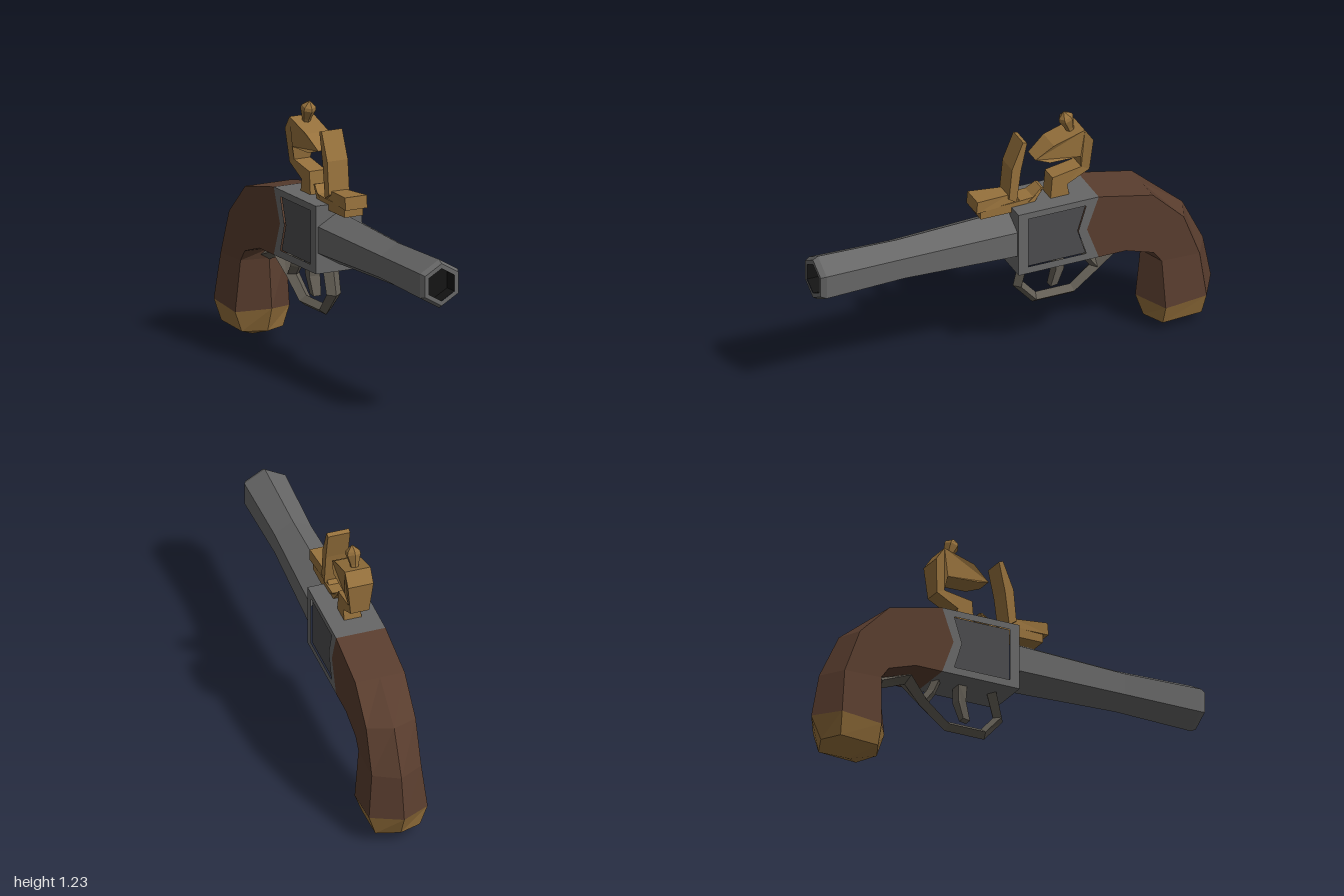
import * as THREE from 'three';

const mat = (color, side = THREE.FrontSide) => new THREE.MeshStandardMaterial({ color, flatShading: true, side });
const steel = mat(0x676767), panelSteel = mat(0x4b4b4d), bore = mat(0x141414, THREE.DoubleSide);
const wood = mat(0x593d2e), brass = mat(0x96713c), iron = mat(0x625d54);

function geometryOf(triangles) {
  const geo = new THREE.BufferGeometry().setFromPoints(triangles);
  geo.computeVertexNormals();
  return geo;
}

// Solid from a side outline of [z, y, halfWidth] points
function slab(outline) {
  let pts = outline;
  const flat = (list) => list.map(([z, y]) => new THREE.Vector2(z, y));
  if (THREE.ShapeUtils.area(flat(pts)) < 0) pts = [...pts].reverse();
  const at = (i, s) => new THREE.Vector3(s * pts[i][2], pts[i][1], pts[i][0]);
  const tris = [];
  for (const [a, b, c] of THREE.ShapeUtils.triangulateShape(flat(pts), [])) {
    tris.push(at(a, -1), at(b, -1), at(c, -1), at(a, 1), at(c, 1), at(b, 1));
  }
  pts.forEach((_, i) => {
    const j = (i + 1) % pts.length;
    tris.push(at(i, -1), at(i, 1), at(j, 1), at(i, -1), at(j, 1), at(j, -1));
  });
  return geometryOf(tris);
}

// Skin over a row of equal-length rings
function loft(rings) {
  const tris = [];
  for (let s = 0; s < rings.length - 1; s++) {
    const n = rings[s].length;
    for (let i = 0; i < n; i++) {
      const j = (i + 1) % n;
      const a = rings[s][i], b = rings[s][j], c = rings[s + 1][i], d = rings[s + 1][j];
      tris.push(a, b, d, a, d, c);
    }
  }
  return geometryOf(tris);
}

// Kite-section bar along a path of [z, y, halfWidth]
function bar(path, thick) {
  const rings = path.map(([z, y, w], i) => {
    const p = path[Math.max(i - 1, 0)], q = path[Math.min(i + 1, path.length - 1)];
    const t = new THREE.Vector2(q[0] - p[0], q[1] - p[1]).normalize();
    const nz = t.y * thick, ny = -t.x * thick;
    return [[0, y + ny, z + nz], [w, y, z], [0, y - ny, z - nz], [-w, y, z]].map((v) => new THREE.Vector3(...v));
  });
  const cap = (r) => r.map(() => r[0].clone().add(r[2]).multiplyScalar(0.5));
  return loft([cap(rings[0]), ...rings, cap(rings[rings.length - 1])]);
}

// Six-sided turned part along y from [radius, height] points
const turned = (pts) => new THREE.LatheGeometry(pts.map(([r, h]) => new THREE.Vector2(r, h)), 6);

// Grip ring: back ridge, back edge, front edge, front ridge (each z, y) and half width
function gripRing([br, be, fe, fr, w]) {
  const p = (x, [z, y]) => new THREE.Vector3(x, y, z);
  return [p(0, br), p(w, be), p(w, fe), p(0, fr), p(-w, fe), p(-w, be)];
}

export function createModel() {
  const model = new THREE.Group();
  const add = (name, geo, material, parent = model) => {
    const mesh = new THREE.Mesh(geo, material);
    mesh.name = name;
    parent.add(mesh);
    return mesh;
  };

  // Barrel with a hollow muzzle
  const barrel = turned([[0.126, 0], [0.104, 0.58], [0.115, 0.975], [0.1, 1], [0.077, 1]]);
  add('barrel', barrel.rotateX(Math.PI / 2), steel).position.y = 0.65;
  const hollow = turned([[0, 0.93], [0.077, 0.93], [0.077, 0.999]]);
  add('bore', hollow.rotateX(Math.PI / 2), bore).position.y = 0.65;

  // Receiver frame with notched rear and recessed side panels
  const outer = [[0.02, 0.49], [0.02, 0.812], [-0.383, 0.812], [-0.324, 0.652], [-0.383, 0.49]];
  const inner = [[-0.03, 0.525], [-0.03, 0.78], [-0.32, 0.78], [-0.28, 0.652], [-0.32, 0.525]];
  const toShape = (pts) => pts.map(([z, y]) => new THREE.Vector2(-z, y));
  const frame = new THREE.Shape(toShape(outer));
  frame.holes.push(new THREE.Path(toShape(inner)));
  const frameGeo = new THREE.ExtrudeGeometry(frame, { depth: 0.24, bevelEnabled: false });
  add('receiverFrame', frameGeo.translate(0, 0, -0.12).rotateY(Math.PI / 2), steel);
  add('sidePanels', slab(inner.map(([z, y]) => [z, y, 0.113])), panelSteel);

  // Curved grip, its tongue into the receiver, and the butt cap
  const butt = [[-1, 0.18], [-0.915, 0.165], [-0.71, 0.145], [-0.62, 0.165], 0.142];
  const grip = [
    [[-0.383, 0.812], [-0.383, 0.812], [-0.383, 0.49], [-0.383, 0.49], 0.12],
    [[-0.655, 0.754], [-0.655, 0.754], [-0.52, 0.49], [-0.52, 0.49], 0.12],
    [[-0.857, 0.605], [-0.81, 0.6], [-0.66, 0.445], [-0.635, 0.45], 0.12],
    [[-0.96, 0.39], [-0.89, 0.385], [-0.7, 0.39], [-0.645, 0.4], 0.12],
    butt,
  ];
  add('grip', loft(grip.map(gripRing)), wood);
  add('gripTongue', slab([[-0.383, 0.812, 0.12], [-0.324, 0.652, 0.12], [-0.383, 0.49, 0.12]]), wood);
  const tip = [-0.806, 0.005];
  const cap = [butt, [[-0.95, 0.07], [-0.905, 0.06], [-0.71, 0.05], [-0.66, 0.05], 0.108], [tip, tip, tip, tip, 0]];
  add('buttCap', loft(cap.map(gripRing)), brass);

  // Trigger guard, its brace and the trigger
  add('triggerGuard', bar([[-0.065, 0.51, 0.042], [-0.03, 0.37, 0.038], [-0.11, 0.28, 0.032], [-0.3, 0.28, 0.032],
    [-0.42, 0.375, 0.036], [-0.51, 0.47, 0.06], [-0.65, 0.42, 0.04]], 0.026), iron);
  add('guardBrace', bar([[-0.345, 0.51, 0.035], [-0.38, 0.43, 0.035], [-0.42, 0.375, 0.03]], 0.022), iron);
  add('trigger', slab([[-0.205, 0.5, 0.03], [-0.21, 0.415, 0.028], [-0.185, 0.325, 0.02], [-0.22, 0.33, 0.02],
    [-0.25, 0.415, 0.028], [-0.25, 0.5, 0.03]]), iron);

  // Striking plate and priming pan ahead of the hammer
  const pan = new THREE.Group();
  pan.name = 'strikingPlate';
  pan.position.x = -0.007;
  model.add(pan);
  const w = 0.054;
  add('panBase', slab([[0.175, 0.83, 0.048], [0.175, 0.785, 0.048], [-0.02, 0.785, 0.048], [-0.09, 0.8, 0.045],
    [-0.147, 0.87, 0.035], [-0.135, 0.872, 0.035], [-0.09, 0.838, 0.045], [-0.02, 0.835, 0.048]]), brass, pan);
  add('panCover', slab([[0.195, 0.885, 0.057], [0.2, 0.825, 0.057], [-0.03, 0.832, 0.04], [0.035, 0.877, 0.04]]), brass, pan);
  add('uprightPlate', slab([[0.035, 0.86, w], [0.02, 1.015, w], [-0.035, 1.148, w], [-0.056, 1.14, w],
    [-0.025, 1, w], [-0.003, 0.835, w]]), brass, pan);

  // Hammer: foot, curved neck and jaw
  add('hammer', slab([[-0.175, 0.805, 0.042], [-0.185, 0.92, 0.042], [-0.33, 0.945, 0.042], [-0.32, 1.01, 0.058],
    [-0.165, 1.015, 0.06], [-0.1, 1.035, 0.042], [-0.185, 1.1, 0.06], [-0.34, 1.148, 0.062], [-0.383, 1.085, 0.062],
    [-0.37, 0.925, 0.045], [-0.26, 0.868, 0.042], [-0.27, 0.805, 0.042]]), brass);

  // Jaw screw
  const screw = add('jawScrew', turned([[0.018, 0], [0.022, 0.03], [0.037, 0.08], [0.033, 0.095], [0, 0.122]]), brass);
  screw.position.set(0, 1.118, -0.298);
  screw.rotation.x = 0.32;

  return model;
}
